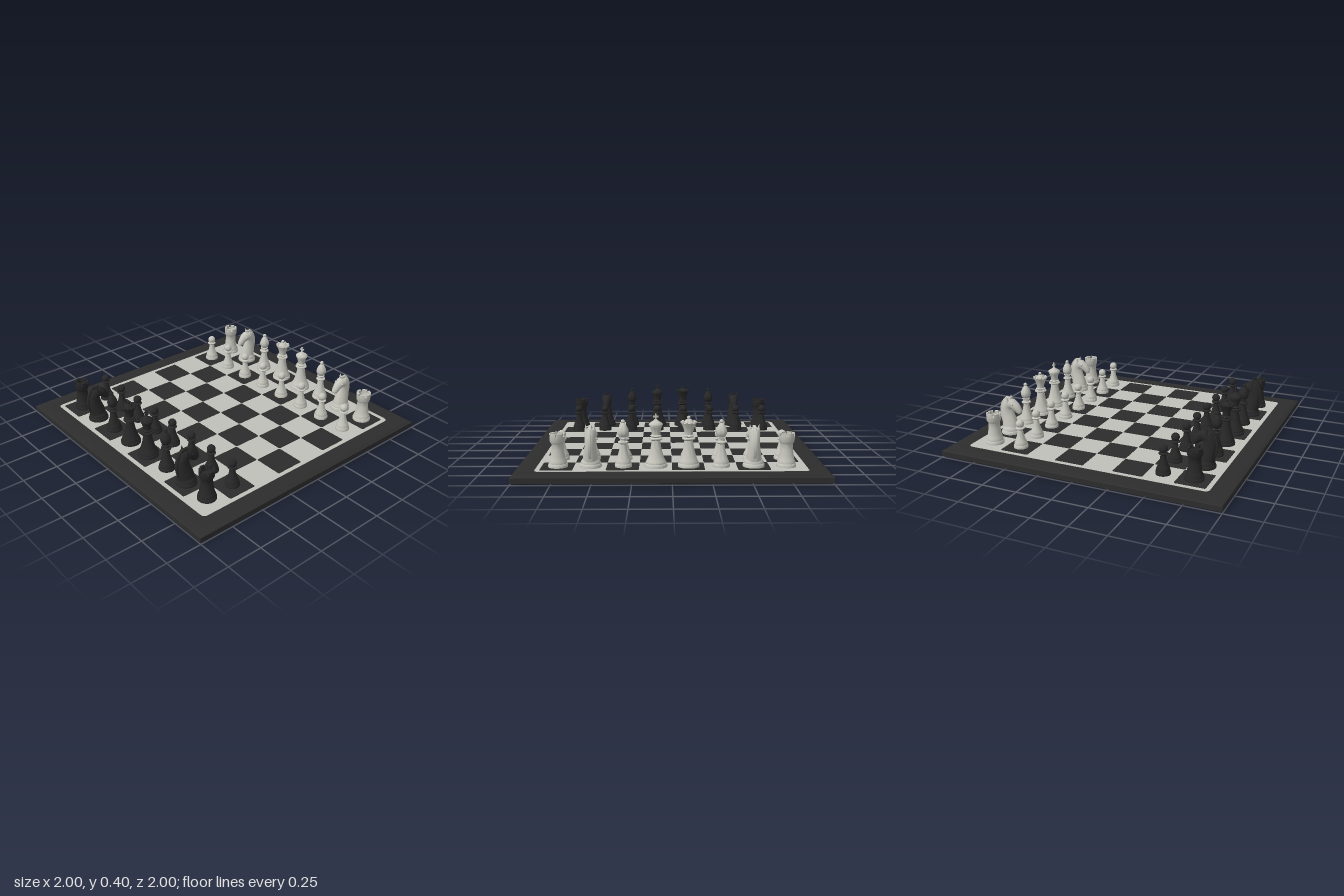
import * as THREE from 'three';
import { mergeGeometries, toCreasedNormals } from 'three/addons/utils/BufferGeometryUtils.js';

const TOP = 0.056; // playing surface height
const PITCH = 0.2103;

// Join parts into one geometry with smooth curves and sharp edges
function join(parts, crease = 0.75) {
  return mergeGeometries(parts.map((p) => {
    const g = toCreasedNormals(p, crease);
    g.deleteAttribute('uv');
    return g;
  }));
}

const turn = (pts, segs = 24) =>
  new THREE.LatheGeometry(pts.map(([r, y]) => new THREE.Vector2(r, y)), segs);

const ball = (r, x, y, z) => new THREE.SphereGeometry(r, 14, 10).translate(x, y, z);

// Moulded foot shared by all pieces, scaled by radius
const foot = (r) => [
  [0, TOP], [r, TOP], [r, 0.07], [r * 0.95, 0.078], [r * 0.9, 0.08], [r * 0.92, 0.088], [r * 0.82, 0.1],
];

// Rounded square plate lying flat
function plate(half, radius, y, depth) {
  const s = new THREE.Shape();
  const k = half - radius;
  s.absarc(k, k, radius, 0, Math.PI / 2);
  s.absarc(-k, k, radius, Math.PI / 2, Math.PI);
  s.absarc(-k, -k, radius, Math.PI, Math.PI * 1.5);
  s.absarc(k, -k, radius, Math.PI * 1.5, Math.PI * 2);
  return new THREE.ExtrudeGeometry(s, { depth, bevelEnabled: false, curveSegments: 5 })
    .rotateX(-Math.PI / 2).translate(0, y, 0);
}

function pawn() {
  return join([
    turn([...foot(0.05), [0.032, 0.12], [0.023, 0.15], [0.018, 0.185], [0.031, 0.194], [0.031, 0.199], [0.016, 0.207], [0, 0.21]]),
    ball(0.029, 0, 0.227, 0),
  ]);
}

function rook() {
  const parts = [turn([
    ...foot(0.064), [0.046, 0.13], [0.041, 0.17], [0.039, 0.205], [0.043, 0.212], [0.05, 0.225],
    [0.051, 0.257], [0.036, 0.257], [0.034, 0.24], [0, 0.24],
  ])];
  // Battlements
  for (let i = 0; i < 6; i++) {
    const a = (i * Math.PI) / 3, w = 0.4;
    const s = new THREE.Shape();
    s.absarc(0, 0, 0.051, a - w, a + w, false);
    s.absarc(0, 0, 0.036, a + w, a - w, true);
    s.closePath();
    parts.push(new THREE.ExtrudeGeometry(s, { depth: 0.02, bevelEnabled: false, curveSegments: 4 })
      .rotateX(-Math.PI / 2).translate(0, 0.256, 0));
  }
  return join(parts);
}

function bishop() {
  return join([
    turn([
      ...foot(0.056), [0.036, 0.13], [0.026, 0.165], [0.021, 0.205], [0.034, 0.214], [0.034, 0.22],
      [0.022, 0.226], [0.021, 0.238], [0.029, 0.244], [0.022, 0.25], [0.032, 0.264], [0.037, 0.28],
      [0.034, 0.3], [0.024, 0.322], [0.011, 0.342], [0, 0.346],
    ]),
    ball(0.014, 0, 0.351, 0),
  ]);
}

// Body common to the two tallest pieces
const royalBody = (r) => [
  ...foot(r), [0.049, 0.125], [0.039, 0.16], [0.031, 0.2], [0.028, 0.228], [0.043, 0.237],
  [0.043, 0.244], [0.031, 0.25], [0.037, 0.258], [0.027, 0.266], [0.028, 0.285],
];

function queen() {
  const parts = [turn([
    ...royalBody(0.07), [0.037, 0.315], [0.05, 0.342], [0.046, 0.346], [0.034, 0.344],
    [0.026, 0.356], [0.014, 0.366], [0, 0.368],
  ]), ball(0.012, 0, 0.375, 0)];
  // Coronet points
  for (let i = 0; i < 10; i++) {
    const a = (i * Math.PI) / 5;
    parts.push(ball(0.009, Math.cos(a) * 0.045, 0.346, Math.sin(a) * 0.045));
  }
  return join(parts);
}

function king() {
  return join([
    turn([
      ...royalBody(0.073), [0.036, 0.31], [0.046, 0.332], [0.044, 0.338], [0.03, 0.348],
      [0.014, 0.358], [0.008, 0.366], [0, 0.366],
    ]),
    new THREE.BoxGeometry(0.011, 0.042, 0.011).translate(0, 0.381, 0),
    new THREE.BoxGeometry(0.034, 0.011, 0.011).translate(0, 0.384, 0),
  ]);
}

// Loft of ellipses along a path in the yz plane: [y, z, halfWidth, halfDepth, lean]
function loft(sections, n = 18) {
  const pos = [], idx = [];
  for (const [y, z, rx, rz, lean] of sections) {
    for (let j = 0; j < n; j++) {
      const t = (j / n) * Math.PI * 2, d = Math.sin(t) * rz;
      pos.push(Math.cos(t) * rx, y - Math.sin(lean) * d, z + Math.cos(lean) * d);
    }
  }
  for (let i = 0; i < sections.length - 1; i++) {
    for (let j = 0; j < n; j++) {
      const a = i * n + j, b = i * n + ((j + 1) % n);
      idx.push(a, a + n, b, b, a + n, b + n);
    }
  }
  const g = new THREE.BufferGeometry();
  g.setAttribute('position', new THREE.Float32BufferAttribute(pos, 3));
  g.setIndex(idx);
  return g.computeVertexNormals(), g;
}

// Horse head looking towards +z
function knight() {
  const parts = [
    turn([...foot(0.071), [0.05, 0.112], [0, 0.118]]),
    loft([
      [0.09, 0, 0.054, 0.06, 0], [0.14, -0.008, 0.046, 0.058, 0], [0.19, -0.02, 0.037, 0.052, 0.1],
      [0.235, -0.024, 0.034, 0.047, 0.3], [0.27, -0.012, 0.037, 0.044, 0.9],
      [0.275, 0.02, 0.037, 0.038, 1.7], [0.255, 0.05, 0.029, 0.032, 2.2],
      [0.225, 0.074, 0.023, 0.025, 2.5], [0.213, 0.083, 0.016, 0.016, 2.5], [0.21, 0.085, 0, 0, 2.5],
    ]),
  ];
  // Mane ridge
  const s = new THREE.Shape();
  s.moveTo(-0.055, 0.11);
  s.quadraticCurveTo(-0.085, 0.17, -0.08, 0.225);
  s.quadraticCurveTo(-0.07, 0.29, -0.03, 0.32);
  s.lineTo(0.015, 0.322);
  s.lineTo(0, 0.28);
  s.lineTo(-0.04, 0.2);
  s.closePath();
  parts.push(new THREE.ExtrudeGeometry(s, {
    depth: 0.01, bevelEnabled: true, bevelSize: 0.003, bevelThickness: 0.005, bevelSegments: 2, curveSegments: 8,
  }).translate(0, 0, -0.005).rotateY(-Math.PI / 2));
  // Ears and brows
  for (const side of [-1, 1]) {
    parts.push(new THREE.ConeGeometry(0.015, 0.05, 10).rotateZ(-side * 0.15).translate(side * 0.026, 0.31, -0.008));
    parts.push(ball(0.009, side * 0.03, 0.277, 0.034));
  }
  return join(parts);
}

export function createModel() {
  const model = new THREE.Group();
  const mat = (name, color) => Object.assign(new THREE.MeshStandardMaterial({ color }), { name });
  const frameBlack = mat('frame black', 0x2d2d2d);
  const squareBlack = mat('square black', 0x2c2c2c);
  const paleGrey = mat('board pale grey', 0xbfc0b9);
  const pieceWhite = mat('piece white', 0xc4c4bc);
  const pieceBlack = mat('piece black', 0x272727);
  const add = (name, geo, material, x = 0, y = 0, z = 0) => {
    const m = new THREE.Mesh(geo, material);
    m.name = name;
    m.position.set(x, y, z);
    model.add(m);
    return m;
  };

  // Square board with softened top edge
  const edge = [[0, 0.005], [0.985, 0.005], [1, 0.01], [1, 0.044], [0.992, 0.05], [0.96, 0.054], [0.9, 0.0545], [0, 0.0545]];
  const slab = new THREE.LatheGeometry(edge.map(([r, y]) => new THREE.Vector2(r * Math.SQRT2, y)), 4, Math.PI / 4);
  add('boardFrame', join([slab]), frameBlack);
  add('paleField', plate(0.871, 0.03, 0.053, 0.003), paleGrey);
  for (const x of [-0.94, 0.94]) {
    for (const z of [-0.94, 0.94]) add('boardFoot', new THREE.CylinderGeometry(0.022, 0.018, 0.006, 16), frameBlack, x, 0.003, z);
  }

  // Dark squares
  const at = (i) => (i - 3.5) * PITCH;
  const square = plate(0.1045, 0.01, 0.0555, 0.0015);
  for (let r = 0; r < 8; r++) {
    for (let c = 0; c < 8; c++) if ((r + c) % 2) add('darkSquare', square, squareBlack, at(c), 0, at(r));
  }

  // Two armies facing each other
  const shapes = { pawn: pawn(), rook: rook(), knight: knight(), bishop: bishop(), queen: queen(), king: king() };
  const order = ['rook', 'knight', 'bishop', 'queen', 'king', 'bishop', 'knight', 'rook'];
  for (const [label, material, back, front, turnY] of [
    ['white', pieceWhite, 0, 1, 0], ['black', pieceBlack, 7, 6, Math.PI],
  ]) {
    order.forEach((kind, c) => {
      for (const [k, row] of [[kind, back], ['pawn', front]]) {
        add(`${label} ${k}`, shapes[k], material, at(c) - 0.003, 0, at(row) - 0.003).rotation.y = turnY;
      }
    });
  }
  return model;
}
